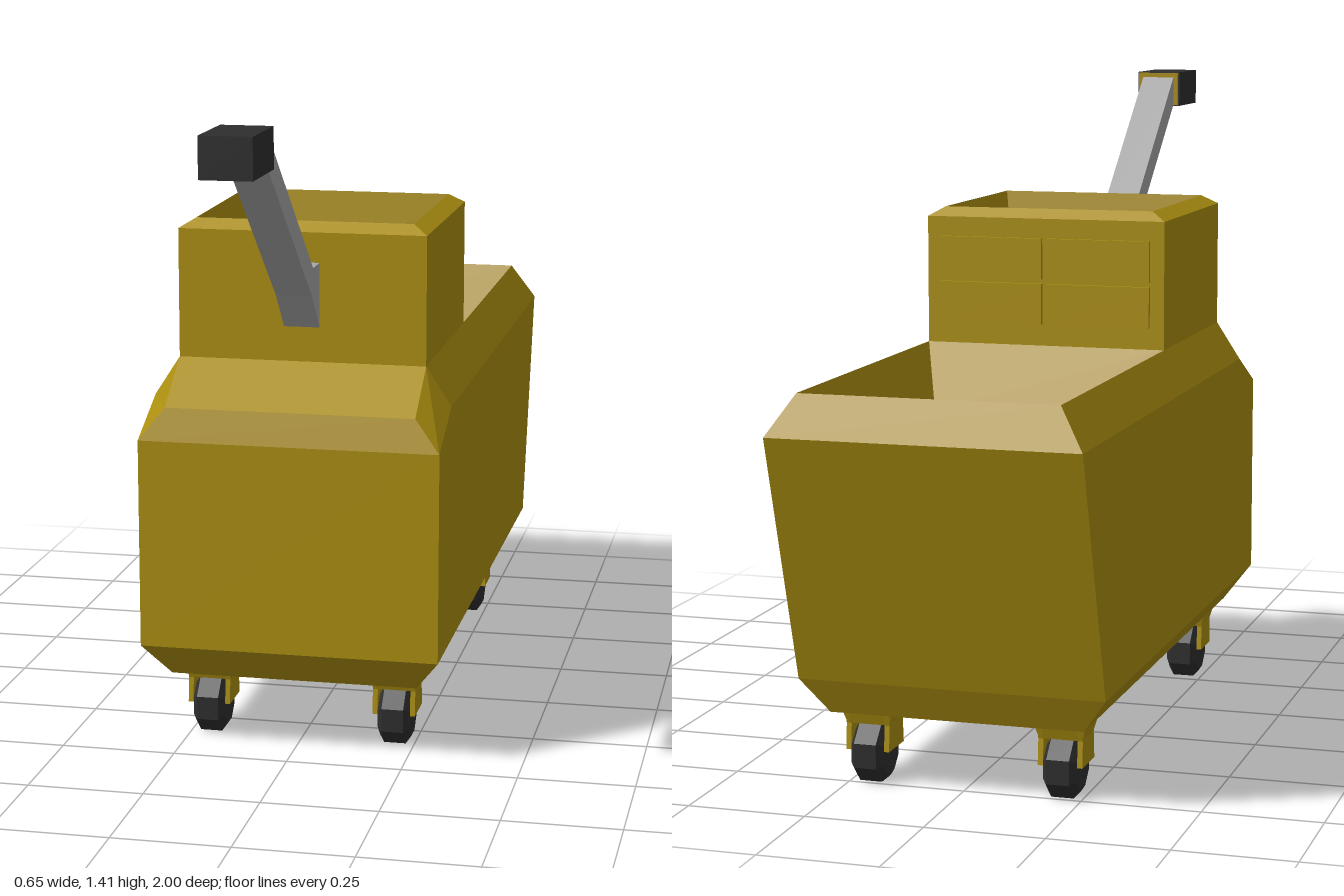
import * as THREE from 'three';

const mat = (name, color) => {
  const m = new THREE.MeshStandardMaterial({ color });
  m.name = name;
  return m;
};

// Flat-shaded geometry from convex polygons with counter-clockwise corners
function polys(list) {
  const pos = [];
  for (const p of list)
    for (let i = 1; i < p.length - 1; i++) pos.push(...p[0], ...p[i], ...p[i + 1]);
  const g = new THREE.BufferGeometry();
  g.setAttribute('position', new THREE.Float32BufferAttribute(pos, 3));
  g.computeVertexNormals();
  return g;
}

// Horizontal rectangle, and the walls that join a series of them
const ring = (x, z0, z1, y) => [[-x, y, z1], [x, y, z1], [x, y, z0], [-x, y, z0]];
function loft(...rings) {
  const out = [];
  for (let r = 0; r < rings.length - 1; r++)
    for (let i = 0; i < 4; i++) {
      const a = rings[r], b = rings[r + 1], j = (i + 1) % 4;
      out.push([a[i], a[j], b[j], b[i]]);
    }
  return out;
}

const flipX = ([x, y, z]) => [-x, y, z];
const mirrored = (p) => p.map(flipX).reverse();

// Side outline of [z, y] points, extruded across x about the centre
function sideExtrude(points, width) {
  const s = new THREE.Shape(points.map(([z, y]) => new THREE.Vector2(z, y)));
  return new THREE.ExtrudeGeometry(s, { depth: width, bevelEnabled: false })
    .rotateY(-Math.PI / 2).translate(width / 2, 0, 0);
}

export function createModel() {
  const root = new THREE.Group();
  root.name = 'mopCart';
  const yellow = mat('yellow plastic', 0xac8f10);
  const grey = mat('grey metal', 0xa8a8a8);
  const black = mat('black rubber', 0x2e2e2e);
  const blue = mat('blue water', 0x0f3a80);
  const teal = mat('teal water', 0x265f7c);

  const add = (name, geo, m, parent = root, x = 0, y = 0, z = 0) => {
    const mesh = new THREE.Mesh(geo, m);
    mesh.name = name;
    mesh.position.set(x, y, z);
    parent.add(mesh);
    return mesh;
  };

  // Tub shell: chamfered base, leaning back wall, sloped front shoulder
  const A = [0.325, 0.69, 0.485], B = [0.27, 0.76, 0.465], C = [0.27, 0.845, 0.335];
  const D = [0.325, 0.76, 0.335], E = [0.325, 0.76, -1], F = [0.27, 0.845, -0.96];
  const base = ring(0.27, -0.8, 0.43, 0.16);
  const sides = [[A, E, D], [A, D, C, B], [D, E, F, C]];
  add('tubShell', polys([
    [...base].reverse(),
    ...loft(base, ring(0.325, -0.835, 0.485, 0.235), [flipX(A), A, E, flipX(E)]),
    [flipX(A), A, B, flipX(B)],
    [flipX(B), B, C, flipX(C)],
    [E, flipX(E), flipX(F), F],
    ...sides, ...sides.map(mirrored),
  ]), yellow);

  // Bucket walls and the water inside
  add('bucketInside', polys(loft(
    ring(0.27, -0.96, -0.17, 0.845), ring(0.235, -0.89, -0.235, 0.7))), yellow);
  const pool = ring(0.2, -0.85, -0.25, 0.67);
  add('bucketWater', polys([...loft(ring(0.235, -0.89, -0.235, 0.7), pool), pool]), blue);

  // Low ripple on the water
  const peak = [0.08, 0.7, -0.54];
  const foot = [[-0.13, 0.671, -0.36], [0.12, 0.671, -0.36], [0.15, 0.671, -0.7],
    [-0.03, 0.671, -0.76], [-0.12, 0.671, -0.6]];
  add('waterRipple', polys(foot.map((p, i) => [p, foot[(i + 1) % 5], peak])), blue);

  // Wringer box with chamfered rim and tapering inside
  add('wringerBox', polys(loft(
    ring(0.27, -0.17, 0.335, 0.845), ring(0.27, -0.17, 0.335, 1.125),
    ring(0.237, -0.145, 0.305, 1.145), ring(0.2, -0.105, 0.26, 0.85))), yellow);
  const drain = ring(0.08, 0.045, 0.12, 0.76);
  add('wringerWater', polys([...loft(ring(0.2, -0.105, 0.26, 0.85), drain), drain]), teal);

  // Four raised panels on the back of the wringer
  for (const x of [-0.122, 0.122])
    for (const y of [0.937, 1.037])
      add('backPanel', new THREE.BoxGeometry(0.232, 0.09, 0.009), yellow, root, x, y, -0.1745);

  // Lever arm and grip
  add('leverArm', sideExtrude([[0.33, 0.915], [0.41, 1.0], [0.83, 1.335], [0.83, 1.405],
    [0.4, 1.06], [0.33, 1.06]], 0.078), grey);
  add('leverGrip', new THREE.BoxGeometry(0.106, 0.084, 0.175), black, root, 0, 1.367, 0.9125);
  add('gripCollar', new THREE.BoxGeometry(0.1, 0.08, 0.006), yellow, root, 0, 1.367, 0.822);

  // Casters: yellow fork around a chamfered eight-sided wheel
  const profile = [[0, -0.035], [0.05, -0.035], [0.067, -0.024], [0.067, 0.024],
    [0.05, 0.035], [0, 0.035]].map(([r, y]) => new THREE.Vector2(r, y));
  const wheelGeo = new THREE.LatheGeometry(profile, 8).rotateY(Math.PI / 8)
    .rotateZ(Math.PI / 2).toNonIndexed();
  wheelGeo.computeVertexNormals();
  const plateGeo = sideExtrude([[-0.05, 0.16], [-0.04, 0.125], [-0.045, 0.07],
    [0.045, 0.07], [0.04, 0.125], [0.05, 0.16]], 0.011);
  const crownGeo = polys(loft(ring(0.046, -0.038, 0.038, 0.125), ring(0.056, -0.05, 0.05, 0.162)));
  for (const x of [-0.207, 0.207])
    for (const z of [0.31, -0.71]) {
      const caster = new THREE.Group();
      caster.name = 'caster';
      caster.position.set(x, 0, z);
      root.add(caster);
      add('casterWheel', wheelGeo, black, caster, 0, 0.062, 0);
      add('casterCrown', crownGeo, yellow, caster);
      for (const s of [-1, 1]) add('forkPlate', plateGeo, yellow, caster, s * 0.0415, 0, 0);
    }
  return root;
}
